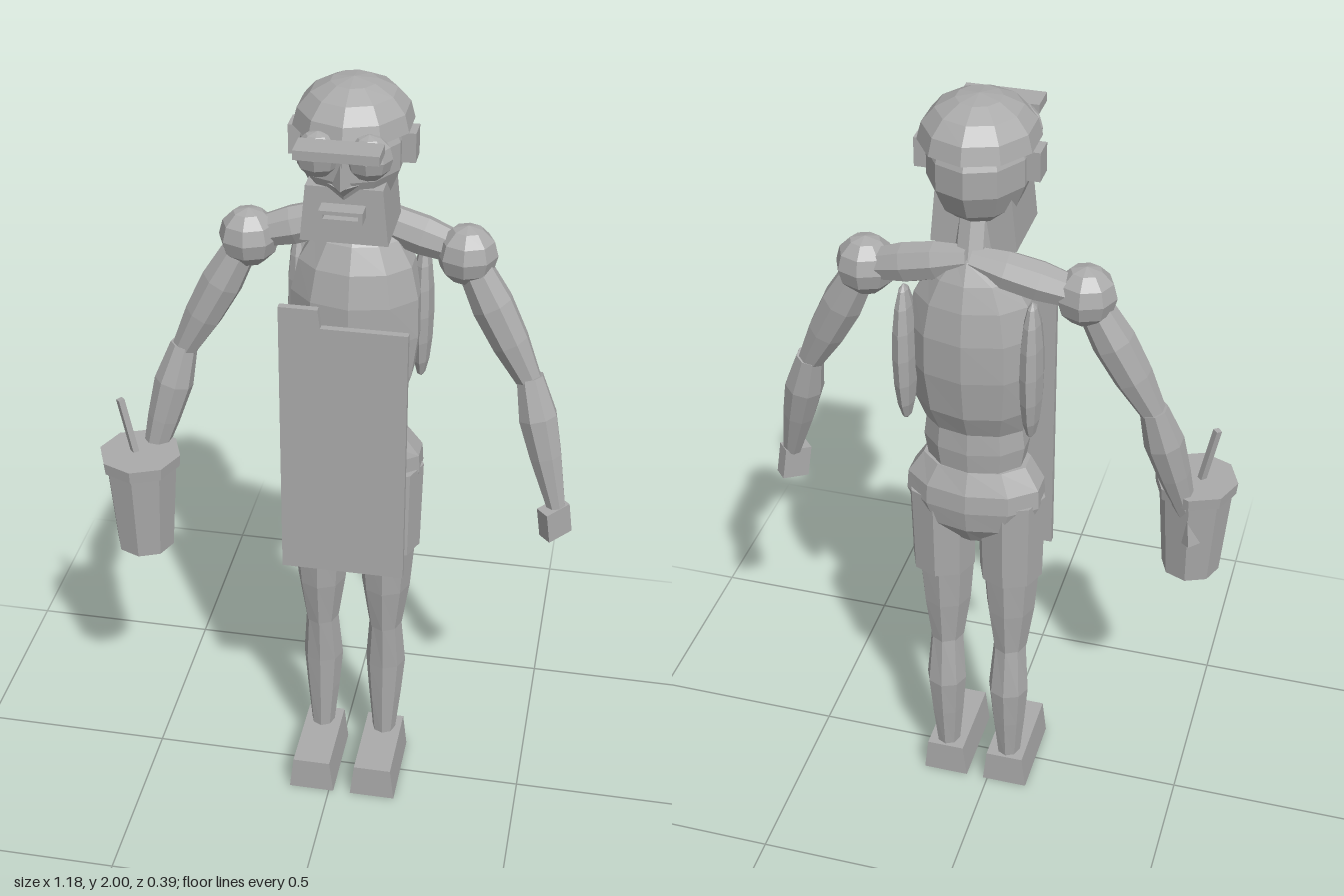
import * as THREE from 'three';

const CX = 0.035; // body centre line

export function createModel() {
  const clay = new THREE.MeshStandardMaterial({ color: 0xaaaaaa });
  clay.name = 'clay grey';
  clay.flatShading = true;

  const root = new THREE.Group();
  root.name = 'apronFigure';
  const body = new THREE.Group();
  body.name = 'body';
  body.position.x = CX;
  root.add(body);

  const add = (name, geo, x = 0, y = 0, z = 0, parent = body) => {
    const m = new THREE.Mesh(geo, clay);
    m.name = name;
    m.position.set(x, y, z);
    parent.add(m);
    return m;
  };
  const ball = (name, x, y, z, rx, ry, rz, ws = 10, hs = 7) => {
    const g = new THREE.SphereGeometry(1, ws, hs);
    g.rotateY(Math.PI / 2);
    g.scale(rx, ry, rz);
    return add(name, g, x, y, z);
  };
  // Box whose top face is scaled in x and z
  const taperBox = (w, h, d, sx = 1, sz = 1) => {
    const g = new THREE.BoxGeometry(w, h, d);
    const p = g.attributes.position;
    for (let i = 0; i < p.count; i++) {
      if (p.getY(i) > 0) { p.setX(i, p.getX(i) * sx); p.setZ(i, p.getZ(i) * sz); }
    }
    return g;
  };
  // Faceted limb from a to b; profile is a list of [fraction along, radius]
  const limb = (name, a, b, profile, sides = 8, parent = body) => {
    const A = new THREE.Vector3(...a), dir = new THREE.Vector3(...b).sub(A);
    const len = dir.length();
    const pts = profile.map(([t, r]) => new THREE.Vector2(r, t * len));
    pts.unshift(new THREE.Vector2(0, profile[0][0] * len));
    pts.push(new THREE.Vector2(0, profile[profile.length - 1][0] * len));
    const m = add(name, new THREE.LatheGeometry(pts, sides), ...a, parent);
    m.quaternion.setFromUnitVectors(new THREE.Vector3(0, 1, 0), dir.normalize());
    return m;
  };
  // Upright faceted part with elliptical rings; rings are [y, rx, rz, z], bottom to top
  const trunk = (name, x, rings, sides = 10) => {
    const pts = rings.map(([y]) => new THREE.Vector2(1, y));
    pts.unshift(new THREE.Vector2(0, rings[0][0]));
    pts.push(new THREE.Vector2(0, rings[rings.length - 1][0]));
    const g = new THREE.LatheGeometry(pts, sides);
    const p = g.attributes.position;
    for (let i = 0; i < p.count; i++) {
      const row = i % pts.length;
      const [, rx, rz, z] = rings[Math.min(Math.max(row - 1, 0), rings.length - 1)];
      p.setX(i, p.getX(i) * rx);
      p.setZ(i, p.getZ(i) * rz + z);
    }
    return add(name, g, x);
  };

  // Head and cap
  ball('head', 0, 1.84, -0.016, 0.122, 0.145, 0.146);
  const dome = new THREE.SphereGeometry(1, 10, 4, 0, Math.PI * 2, 0, Math.PI / 2);
  const base = new THREE.CircleGeometry(1, 10);
  base.rotateX(Math.PI / 2);
  for (const [name, g] of [['capDome', dome], ['capUnderside', base]]) {
    g.rotateY(name === 'capDome' ? Math.PI / 2 : Math.PI / 2);
    g.scale(0.138, 0.105, 0.151);
    add(name, g, 0, 1.895, -0.022);
  }
  add('capBrim', new THREE.BoxGeometry(0.19, 0.022, 0.07), 0, 1.901, 0.165);
  add('jaw', taperBox(0.202, 0.135, 0.183, 0.87), 0, 1.72, 0.011);
  const nose = add('nose', new THREE.ConeGeometry(0.022, 0.06, 4), 0, 1.835, 0.14);
  nose.rotation.x = 0.35;
  const lip = add('moustache', new THREE.ConeGeometry(0.035, 0.03, 4), 0, 1.785, 0.11);
  lip.rotation.x = Math.PI;

  // Mouth frame with a slot
  const mouth = new THREE.Shape([[-0.05, -0.014], [0.05, -0.014], [0.05, 0.014], [-0.05, 0.014]]
    .map(p => new THREE.Vector2(...p)));
  mouth.holes.push(new THREE.Path([[-0.04, -0.005], [-0.04, 0.005], [0.04, 0.005], [0.04, -0.005]]
    .map(p => new THREE.Vector2(...p))));
  add('mouth', new THREE.ExtrudeGeometry(mouth, { depth: 0.045, bevelEnabled: false }), 0, 1.735, 0.1);
  limb('neck', [0, 1.58, -0.1], [0, 1.74, -0.05], [[0, 0.045], [1, 0.04]]);

  // Torso
  trunk('chest', 0, [
    [1.17, 0.125, 0.085, -0.06], [1.24, 0.148, 0.108, -0.068], [1.35, 0.163, 0.12, -0.072],
    [1.45, 0.161, 0.119, -0.073], [1.53, 0.142, 0.104, -0.075], [1.59, 0.105, 0.08, -0.08],
    [1.64, 0.05, 0.045, -0.09],
  ]);
  trunk('abdomen', 0, [[1.05, 0.12, 0.085, -0.06], [1.12, 0.132, 0.094, -0.058], [1.2, 0.122, 0.088, -0.058]]);
  trunk('pelvis', 0, [
    [0.84, 0.06, 0.045, -0.08], [0.9, 0.145, 0.085, -0.08], [0.96, 0.176, 0.1, -0.075],
    [1.01, 0.173, 0.099, -0.072], [1.065, 0.135, 0.085, -0.062],
  ]);

  for (const s of [-1, 1]) {
    const side = s > 0 ? 'left' : 'right';
    // Face details
    ball(side + 'Goggle', s * 0.057, 1.868, 0.108, 0.053, 0.053, 0.047, 8, 6);
    add(side + 'Ear', new THREE.BoxGeometry(0.04, 0.07, 0.057), s * 0.125, 1.852, -0.021);

    // Back muscle and shoulder
    ball(side + 'BackMuscle', s * 0.152, 1.375, -0.13, 0.028, 0.185, 0.056, 8, 8);
    limb(side + 'Collar', [0, 1.635, -0.105], [s * 0.26, 1.565, -0.08],
      [[0, 0.032], [0.3, 0.046], [0.6, 0.048], [1, 0.035]]);
    ball(side + 'Shoulder', s * 0.26, 1.563, -0.072, 0.073, 0.073, 0.07, 8, 6);

    // Arm
    limb(side + 'UpperArm', [s * 0.27, 1.55, -0.068], [s * 0.43, 1.245, -0.045],
      [[0, 0.04], [0.35, 0.052], [0.65, 0.047], [1, 0.03]]);
    limb(side + 'Forearm', [s * 0.425, 1.265, -0.047], [s * 0.513, 0.935, 0.005],
      [[0, 0.034], [0.3, 0.049], [0.6, 0.041], [1, 0.024]]);
    const hand = add(side + 'Hand', new THREE.BoxGeometry(0.07, 0.085, 0.04), s * 0.512, 0.897, 0.009);
    hand.rotation.set(0, s * 0.75, s * 0.16);

    // Leg
    trunk(side + 'ShortsLeg', s * 0.088, [[0.725, 0.081, 0.082, -0.068], [0.97, 0.086, 0.088, -0.068]], 8);
    trunk(side + 'Thigh', s * 0.085, [
      [0.47, 0.044, 0.052, -0.06], [0.6, 0.063, 0.066, -0.057], [0.74, 0.074, 0.074, -0.056],
    ], 8);
    trunk(side + 'Shin', s * 0.085, [
      [0.09, 0.031, 0.036, -0.069], [0.22, 0.044, 0.046, -0.074],
      [0.33, 0.053, 0.053, -0.077], [0.48, 0.042, 0.049, -0.062],
    ], 8);
    add(side + 'Shoe', taperBox(0.12, 0.095, 0.23, 0.82), s * 0.083, 0.0475, 0.003);
  }

  // Apron with a raised corner tab
  const cloth = new THREE.Shape([[-0.124, 0.722], [0.184, 0.722], [0.184, 1.417], [-0.024, 1.417],
    [-0.03, 1.465], [-0.124, 1.465]].map(p => new THREE.Vector2(...p)));
  add('apron', new THREE.ExtrudeGeometry(cloth, { depth: 0.018, bevelEnabled: false }), 0, 0, 0.067, root);

  // Drink cup in the right hand
  const cup = new THREE.Group();
  cup.name = 'drinkCup';
  cup.position.set(-0.487, 0, 0.062);
  root.add(cup);
  add('cupBody', new THREE.CylinderGeometry(0.092, 0.073, 0.25, 8), 0, 0.86, 0, cup);
  add('cupLid', new THREE.CylinderGeometry(0.103, 0.1, 0.032, 8), 0, 0.992, 0, cup);
  limb('straw', [-0.01, 0.99, 0], [-0.042, 1.155, 0], [[0, 0.011], [1, 0.011]], 4, cup);

  return root;
}
